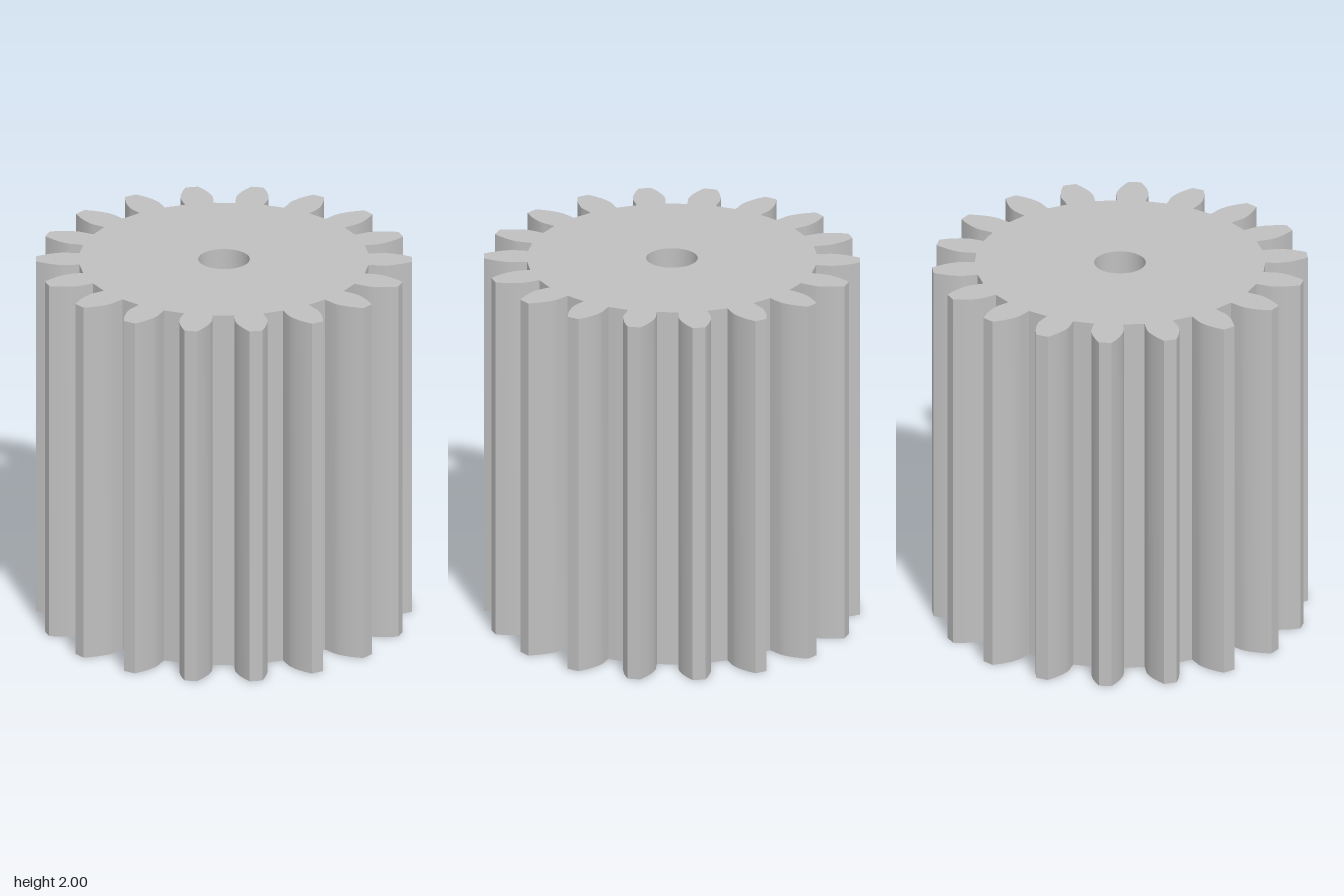
import * as THREE from 'three';
import { toCreasedNormals } from 'three/addons/utils/BufferGeometryUtils.js';

const TEETH = 18;
const HEIGHT = 2;
const TIP_RADIUS = 0.991;
const ROOT_RADIUS = 0.765;
const BASE_RADIUS = 0.838; // base circle of the involute flanks
const BORE_RADIUS = 0.136;
const BASE_HALF_ANGLE = THREE.MathUtils.degToRad(5.85);
const FIRST_TOOTH = THREE.MathUtils.degToRad(11.5);
const FLANK_STEPS = 8;

// One flank as [radius, half angle] pairs, from the root up to the tip
function toothFlank() {
  const flank = [[ROOT_RADIUS, BASE_HALF_ANGLE - 0.002]];
  for (let i = 0; i <= FLANK_STEPS; i++) {
    const r = THREE.MathUtils.lerp(BASE_RADIUS, TIP_RADIUS, i / FLANK_STEPS);
    const pressure = Math.acos(BASE_RADIUS / r);
    flank.push([r, BASE_HALF_ANGLE - (Math.tan(pressure) - pressure)]);
  }
  return flank;
}

// Closed gear outline with a round bore
function gearShape() {
  const flank = toothFlank();
  const points = [];
  const add = (r, a) => points.push(new THREE.Vector2(r * Math.cos(a), r * Math.sin(a)));
  for (let t = 0; t < TEETH; t++) {
    const centre = FIRST_TOOTH + (t / TEETH) * Math.PI * 2;
    for (const [r, a] of flank) add(r, centre - a);
    for (const [r, a] of [...flank].reverse()) add(r, centre + a);
  }
  const shape = new THREE.Shape(points);
  shape.holes.push(new THREE.Path().absarc(0, 0, BORE_RADIUS, 0, Math.PI * 2, true));
  return shape;
}

export function createModel() {
  const steel = new THREE.MeshStandardMaterial({ color: 0xbfbfbf });
  steel.name = 'grey steel';

  // Straight-cut gear standing on its end face
  const geometry = new THREE.ExtrudeGeometry(gearShape(), {
    depth: HEIGHT, bevelEnabled: false, curveSegments: 24,
  });
  geometry.rotateX(-Math.PI / 2);

  const gear = new THREE.Mesh(toCreasedNormals(geometry, Math.PI / 6), steel);
  gear.name = 'spurGear';

  const model = new THREE.Group();
  model.name = 'gear';
  model.add(gear);
  return model;
}
